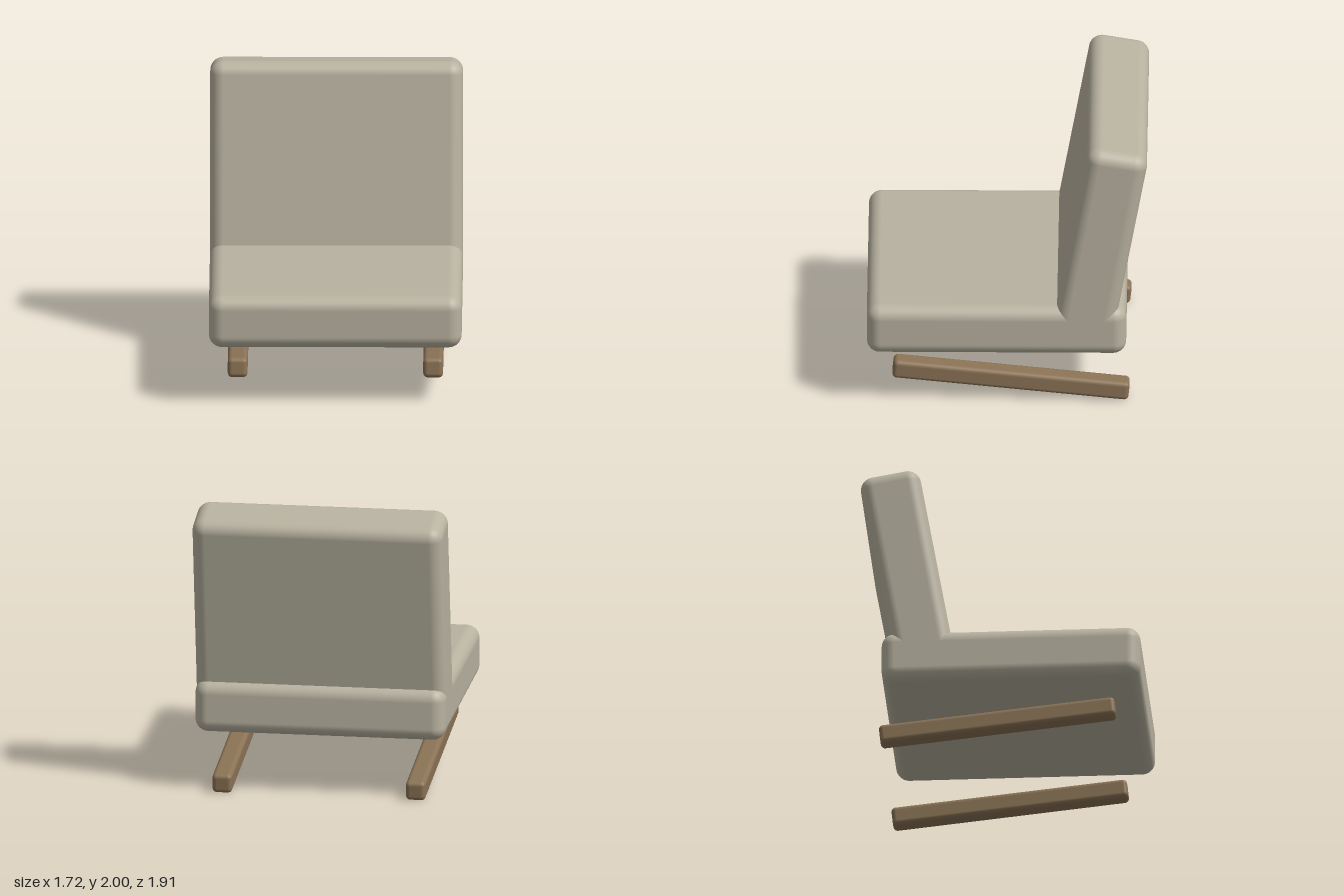
import * as THREE from 'three';
import { RoundedBoxGeometry } from 'three/addons/geometries/RoundedBoxGeometry.js';

const fabric = new THREE.MeshStandardMaterial({ color: 0xb8b2a0 });
fabric.name = 'beige fabric';
const wood = new THREE.MeshStandardMaterial({ color: 0x8b7355 });
wood.name = 'brown wood';

// Rounded block, tilted about the x axis
function block(name, size, radius, position, tiltDegrees, material) {
  const mesh = new THREE.Mesh(new RoundedBoxGeometry(...size, 6, radius), material);
  mesh.name = name;
  mesh.position.set(...position);
  mesh.rotation.x = THREE.MathUtils.degToRad(tiltDegrees);
  return mesh;
}

export function createModel() {
  const chair = new THREE.Group();
  chair.name = 'loungeChair';

  // Cushions: flat seat and a backrest leaning backwards, sunk into it
  chair.add(block('seatCushion', [1.72, 0.365, 1.765], 0.09, [0, 0.595, 0.072], 0, fabric));
  chair.add(block('backCushion', [1.72, 1.5, 0.414], 0.09, [0, 1.239, -0.632], -10, fabric));

  // Sloping runners, higher at the front
  for (const side of [-1, 1]) {
    const name = side > 0 ? 'leftRunner' : 'rightRunner';
    chair.add(block(name, [0.135, 0.134, 1.615], 0.03, [side * 0.665, 0.15, -0.026], -6, wood));
  }
  return chair;
}
